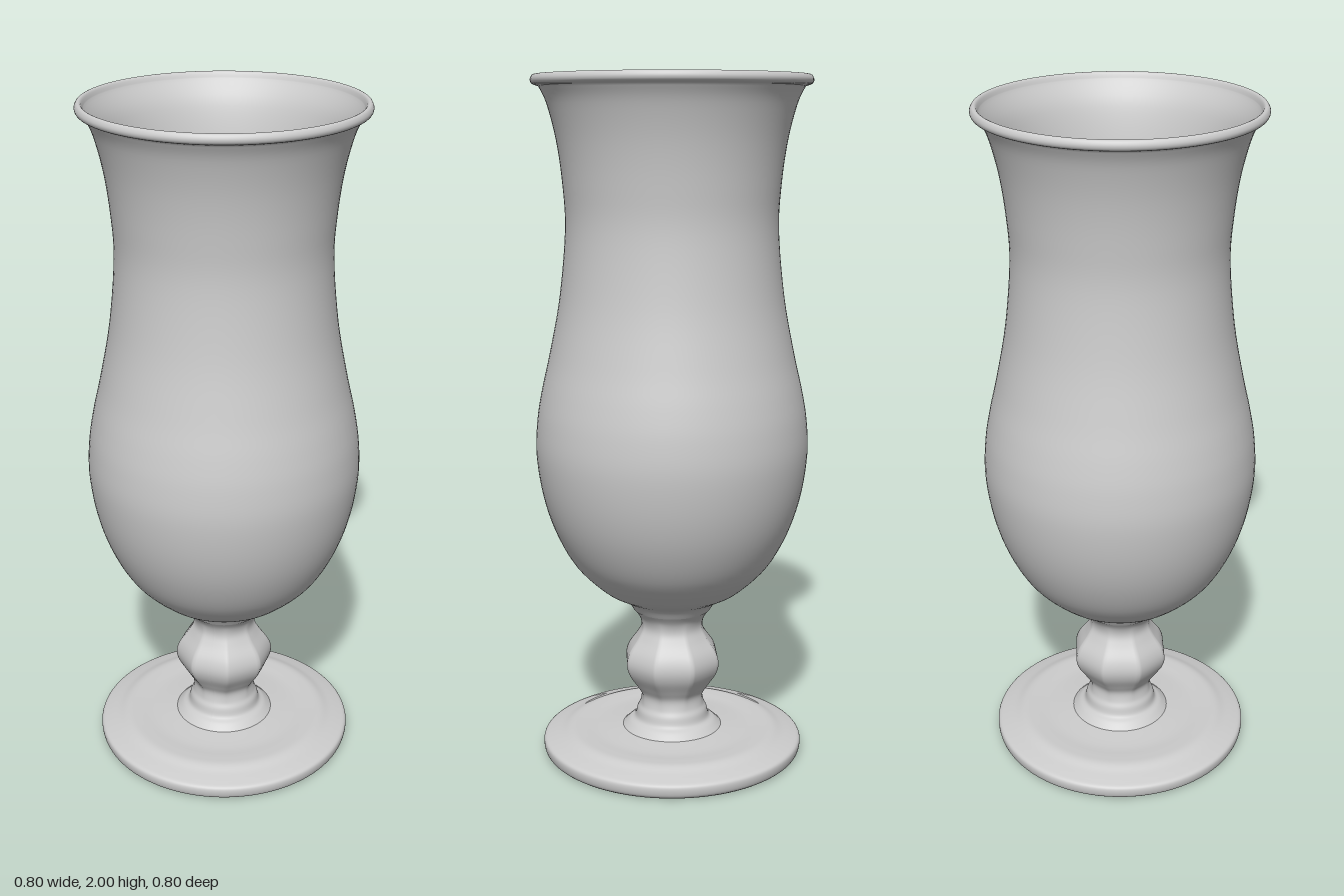
import * as THREE from 'three';

const SEGMENTS = 96;

// Smooth curve through [radius, height] points
function smoothProfile(points, divisions) {
  const curve = new THREE.SplineCurve(points.map(([r, y]) => new THREE.Vector2(r, y)));
  return curve.getPoints(divisions).map((p) => new THREE.Vector2(Math.max(p.x, 0), p.y));
}

function lathe(name, profile, material) {
  const mesh = new THREE.Mesh(new THREE.LatheGeometry(profile, SEGMENTS), material);
  mesh.name = name;
  return mesh;
}

// Turns the round knob into a soft octagon, fading out above and below it
function facetKnob(geometry, centreY, halfHeight) {
  const pos = geometry.attributes.position;
  const step = Math.PI / 4;
  for (let i = 0; i < pos.count; i++) {
    const x = pos.getX(i), y = pos.getY(i), z = pos.getZ(i);
    const t = Math.min(Math.abs(y - centreY) / halfHeight, 1);
    const weight = 1 - t * t;
    const angle = Math.atan2(z, x);
    const offset = angle - Math.round(angle / step) * step;
    const scale = 1 + weight * (0.965 / Math.cos(offset) - 1);
    pos.setXYZ(i, x * scale, y, z * scale);
  }
  geometry.computeVertexNormals();
}

export function createModel() {
  const group = new THREE.Group();
  group.name = 'footedGlass';
  const glass = new THREE.MeshStandardMaterial({ color: 0xcccccc });
  glass.name = 'paleGrey';

  // Bowl: outer wall up, rounded rim, inner wall down to the floor
  const outer = smoothProfile([
    [0.115, 0.44], [0.135, 0.468], [0.165, 0.485], [0.215, 0.515], [0.29, 0.59],
    [0.345, 0.69], [0.38, 0.8], [0.397, 0.92], [0.393, 1.02], [0.378, 1.11],
    [0.353, 1.22], [0.323, 1.38], [0.305, 1.57], [0.311, 1.7], [0.327, 1.82],
    [0.352, 1.92], [0.374, 1.968],
  ], 80);
  const rim = smoothProfile([
    [0.374, 1.968], [0.392, 1.974], [0.397, 1.985], [0.393, 1.996],
    [0.386, 2], [0.379, 1.996], [0.373, 1.982],
  ], 24).slice(1);
  const inner = smoothProfile([
    [0.373, 1.982], [0.337, 1.92], [0.312, 1.82], [0.296, 1.7], [0.29, 1.57],
    [0.308, 1.38], [0.338, 1.22], [0.363, 1.11], [0.378, 1.02], [0.382, 0.92],
    [0.365, 0.8], [0.329, 0.69], [0.273, 0.6], [0.19, 0.53], [0.1, 0.502], [0, 0.495],
  ], 80).slice(1);
  group.add(lathe('bowl', [...outer, ...rim, ...inner], glass));

  // Stem with a faceted knob between two narrow necks
  const stem = lathe('stem', smoothProfile([
    [0.15, 0.07], [0.13, 0.088], [0.112, 0.1], [0.105, 0.125], [0.096, 0.145],
    [0.094, 0.175], [0.11, 0.205], [0.134, 0.245], [0.142, 0.28], [0.133, 0.315],
    [0.107, 0.355], [0.093, 0.385], [0.097, 0.415], [0.115, 0.442],
  ], 64), glass);
  facetKnob(stem.geometry, 0.28, 0.14);
  group.add(stem);

  // Foot: flat disc with a rounded edge and a shallow step on top
  group.add(lathe('foot', smoothProfile([
    [0.374, 0], [0.386, 0.01], [0.39, 0.03], [0.385, 0.043], [0.365, 0.05],
    [0.335, 0.058], [0.305, 0.068], [0.27, 0.068], [0.22, 0.066], [0.14, 0.072],
    [0.1, 0.075],
  ], 50), glass));

  const underside = new THREE.Mesh(new THREE.CircleGeometry(0.374, SEGMENTS), glass);
  underside.name = 'footUnderside';
  underside.rotation.x = Math.PI / 2;
  group.add(underside);

  return group;
}
